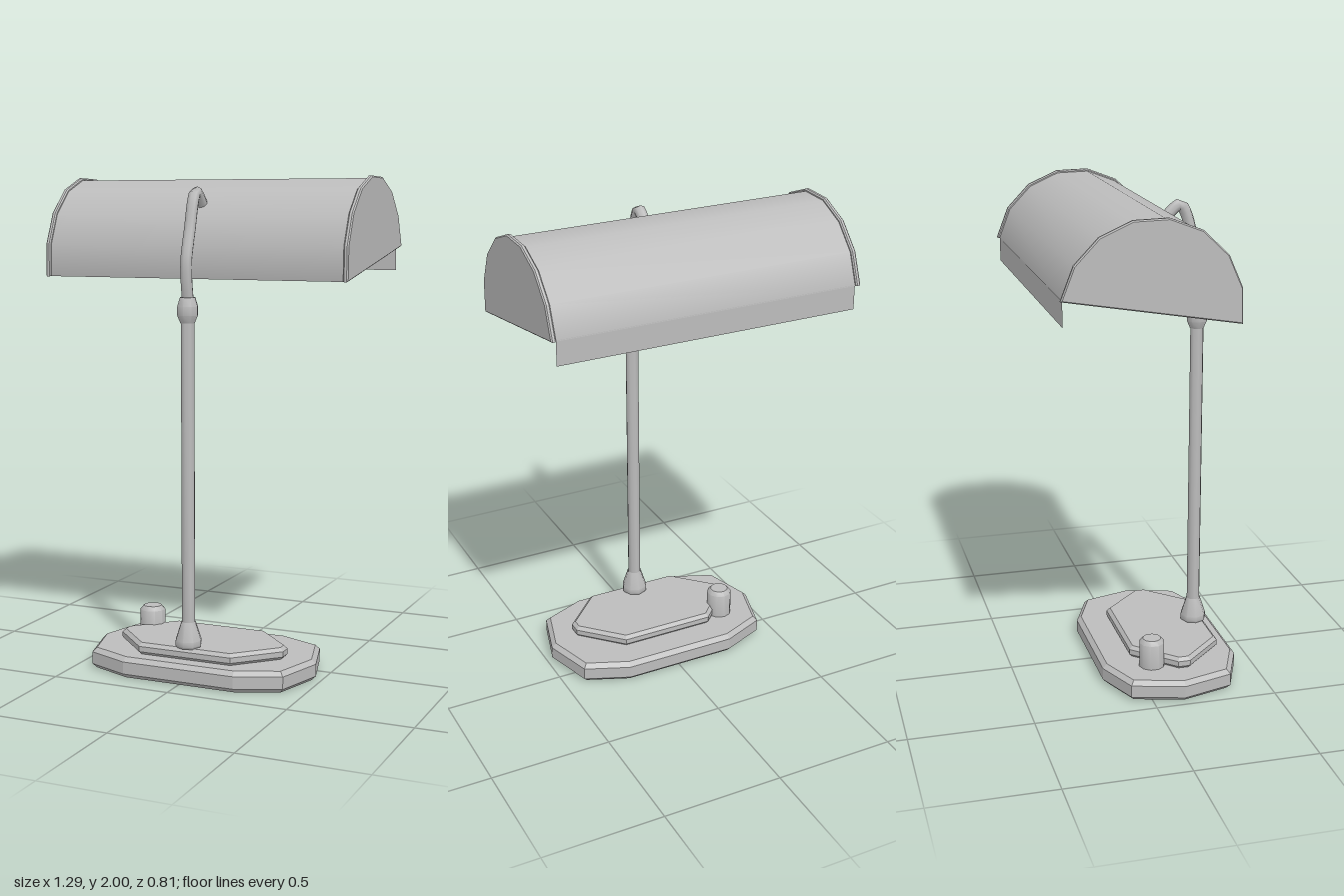
import * as THREE from 'three';
import { toCreasedNormals } from 'three/addons/utils/BufferGeometryUtils.js';

const rad = THREE.MathUtils.degToRad;

export function createModel() {
  const lamp = new THREE.Group();
  lamp.name = 'deskLamp';
  const grey = new THREE.MeshStandardMaterial({ color: 0xbcbcbc, side: THREE.DoubleSide });
  grey.name = 'grey';

  function add(name, geometry, x = 0, y = 0, z = 0) {
    const mesh = new THREE.Mesh(geometry, grey);
    mesh.name = name;
    mesh.position.set(x, y, z);
    lamp.add(mesh);
    return mesh;
  }

  // Solid slab with chamfered edges, centred on its thickness
  function slab(points, thickness, bevel) {
    const shape = new THREE.Shape(points.map(([x, y]) => new THREE.Vector2(x, y)));
    const geometry = new THREE.ExtrudeGeometry(shape, {
      depth: thickness - 2 * bevel, bevelEnabled: true, bevelSegments: 1,
      bevelSize: bevel, bevelThickness: bevel, bevelOffset: -bevel,
    });
    return geometry.translate(0, 0, thickness / 2 - bevel - (thickness - 2 * bevel) / 2 - thickness / 2 + bevel);
  }

  // Turned part from [radius, height] pairs
  function turned(profile, sides) {
    const points = profile.map(([r, y]) => new THREE.Vector2(r, y));
    return toCreasedNormals(new THREE.LatheGeometry(points, sides), 0.8);
  }

  // Stepped base
  const baseOutline = [
    [0.24, -0.285], [0.42, -0.21], [0.48, 0], [0.42, 0.21], [0.24, 0.285],
    [-0.24, 0.285], [-0.42, 0.21], [-0.48, 0], [-0.42, -0.21], [-0.24, -0.285],
  ];
  const stepOutline = [
    [0.2, -0.19], [0.36, -0.025], [0.36, 0.025], [0.2, 0.19],
    [-0.2, 0.19], [-0.36, 0.025], [-0.36, -0.025], [-0.2, -0.19],
  ];
  add('base', slab(baseOutline, 0.086, 0.018).rotateX(-Math.PI / 2), 0, 0.047, 0.125);
  add('baseStep', slab(stepOutline, 0.05, 0.014).rotateX(-Math.PI / 2), 0, 0.113, 0.155);

  // Switch knob
  add('knob', turned([[0, 0.085], [0.053, 0.085], [0.053, 0.195], [0.038, 0.212], [0, 0.212]], 10), -0.29, 0, 0.035);

  // Post with lower and upper collars
  add('lowerCollar', turned([[0.048, 0.135], [0.055, 0.145], [0.055, 0.165], [0.03, 0.24]], 8), 0, 0, 0.3);
  add('post', turned([[0.028, 0.14], [0.028, 1.45]], 8), 0, 0, 0.3);
  add('upperCollar', turned([[0.03, 1.435], [0.043, 1.465], [0.043, 1.5], [0.032, 1.535], [0, 1.535]], 8), 0, 0, 0.3);

  // Bent arm
  const armPath = new THREE.CatmullRomCurve3([
    [1.52, 0.297], [1.6, 0.31], [1.68, 0.311], [1.8, 0.277], [1.91, 0.245], [1.94, 0.222], [1.88, 0.15],
  ].map(([y, z]) => new THREE.Vector3(0, y, z)));
  add('arm', new THREE.TubeGeometry(armPath, 24, 0.024, 8));

  // Half-round shade, tilted ten degrees and open below
  const shadeY = 1.663, shadeZ = -0.065, tilt = -10;
  const shell = new THREE.CylinderGeometry(0.335, 0.335, 1.26, 8, 1, true, rad(-180 - tilt), Math.PI);
  add('shade', shell.rotateZ(-Math.PI / 2), 0, shadeY, shadeZ);

  // End plates of the shade
  const endOutline = [];
  for (let i = 8; i >= 0; i--) {
    const a = rad(tilt + i * 22.5);
    endOutline.push([-0.345 * Math.cos(a), 0.345 * Math.sin(a)]);
  }
  for (const side of [1, -1]) {
    add(side > 0 ? 'leftEndPlate' : 'rightEndPlate',
      slab(endOutline, 0.02, 0.005).rotateY(Math.PI / 2), side * 0.636, shadeY, shadeZ);
  }

  // Thin strip hanging from the rear edge of the shade
  add('rearStrip', new THREE.PlaneGeometry(1.25, 0.1), 0, 1.675, -0.394);

  // Tube bulb
  add('bulb', new THREE.CylinderGeometry(0.05, 0.05, 0.6, 10).rotateZ(Math.PI / 2), 0, 1.735, shadeZ);

  return lamp;
}
